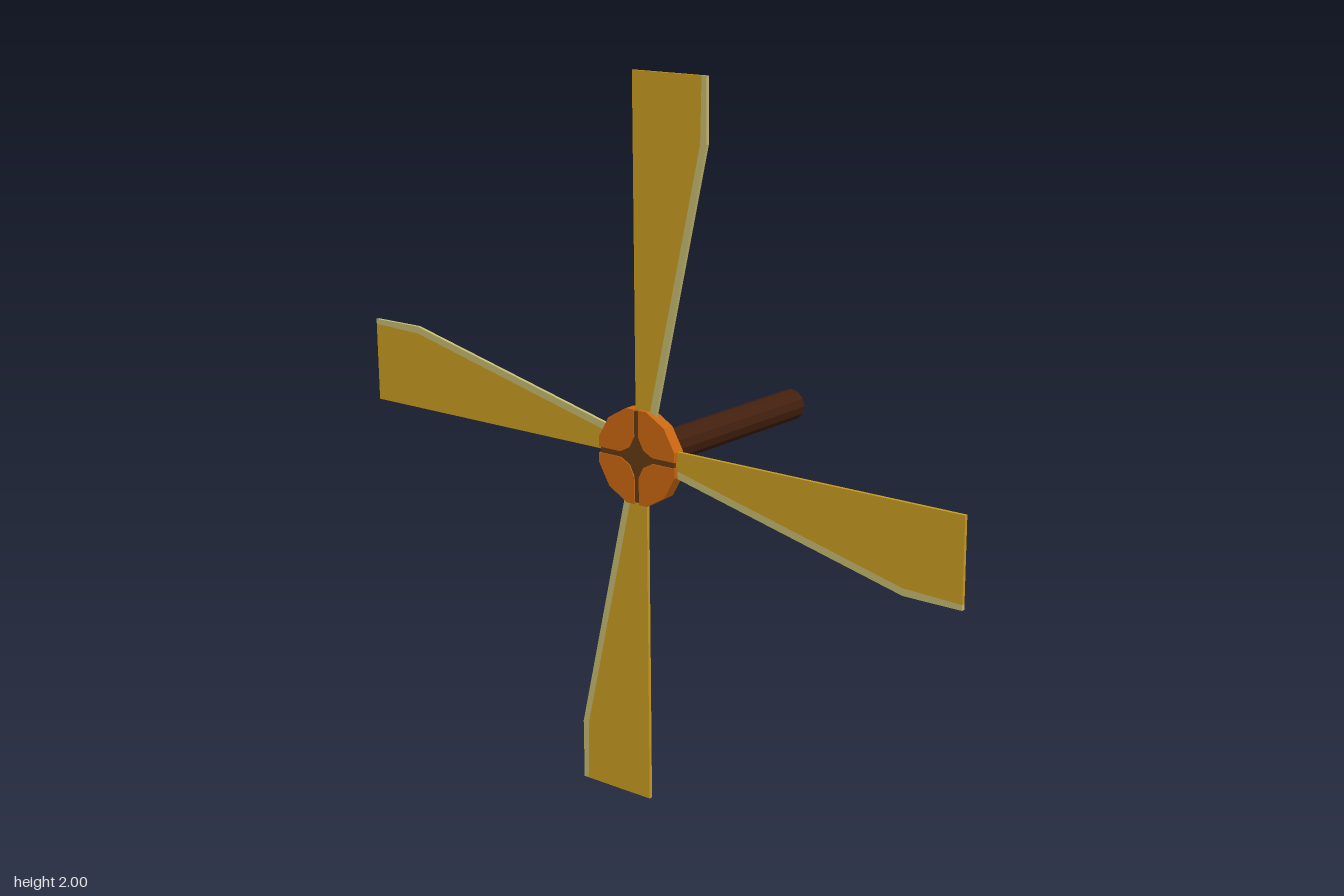
import * as THREE from 'three';

const mat = (name, color, flatShading = true) => {
  const m = new THREE.MeshStandardMaterial({ color, flatShading });
  m.name = name;
  return m;
};

// Extrude a 2D outline to a plate centred on z = 0
function plate(points, depth) {
  const shape = new THREE.Shape(points.map(([x, y]) => new THREE.Vector2(x, y)));
  const geo = new THREE.ExtrudeGeometry(shape, { depth, bevelEnabled: false });
  return geo.translate(0, 0, -depth / 2);
}

export function createModel() {
  const gold = mat('sailGold', 0xc99c20);
  const pale = mat('sailEdgePale', 0xc6bb70);
  const orange = mat('hubOrange', 0xcb6710);
  const darkBrown = mat('hubGapBrown', 0x643a12);
  const shaftBrown = mat('shaftBrown', 0x43200f);

  const model = new THREE.Group();
  model.name = 'windmillRotor';
  const add = (parent, name, geo, material) => {
    const mesh = new THREE.Mesh(geo, material);
    mesh.name = name;
    parent.add(mesh);
    return mesh;
  };

  // Four sails: a gold panel with a pale strip along the slanted edge
  const panelGeo = plate([[-0.018, 0.02], [0.01, 0.02], [0.202, 0.83], [0.207, 1], [-0.018, 1]], 0.01);
  const stripGeo = plate([[0.01, 0.02], [0.031, 0.02], [0.222, 0.83], [0.222, 1], [0.207, 1], [0.202, 0.83]], 0.01);
  for (let i = 0; i < 4; i++) {
    const sail = new THREE.Group();
    sail.name = `sail${i + 1}`;
    add(sail, 'sailPanel', panelGeo, gold);
    add(sail, 'sailEdge', stripGeo, pale);
    sail.position.set(0, 1, 0.332);
    sail.rotation.z = -i * Math.PI / 2;
    model.add(sail);
  }

  // Twelve-sided hub: four orange quarters around a dark core that shows in the gaps
  const hub = new THREE.Group();
  hub.name = 'hub';
  hub.position.set(-0.007, 0.983, 0.332);
  model.add(hub);
  const R = 0.135, gap = 0.008, flat = R * Math.cos(Math.PI / 12);
  const rim = [15, 45, 75].map(d => [R * Math.cos(d * Math.PI / 180), R * Math.sin(d * Math.PI / 180)]);
  const quarterGeo = plate([[0.055, gap], [flat, gap], ...rim, [gap, flat], [gap, 0.055], [0.024, 0.024]], 0.036);
  for (let i = 0; i < 4; i++) {
    add(hub, 'hubQuarter', quarterGeo, orange).rotation.z = i * Math.PI / 2;
  }
  const coreGeo = new THREE.CylinderGeometry(0.13, 0.13, 0.03, 12).rotateY(Math.PI / 12).rotateX(Math.PI / 2);
  add(hub, 'hubCore', coreGeo, darkBrown);

  // Axle running back from the hub
  const shaftGeo = new THREE.CylinderGeometry(0.045, 0.045, 0.67, 12).rotateX(Math.PI / 2);
  add(model, 'shaft', shaftGeo, shaftBrown).position.set(-0.006, 0.984, -0.015);

  return model;
}
